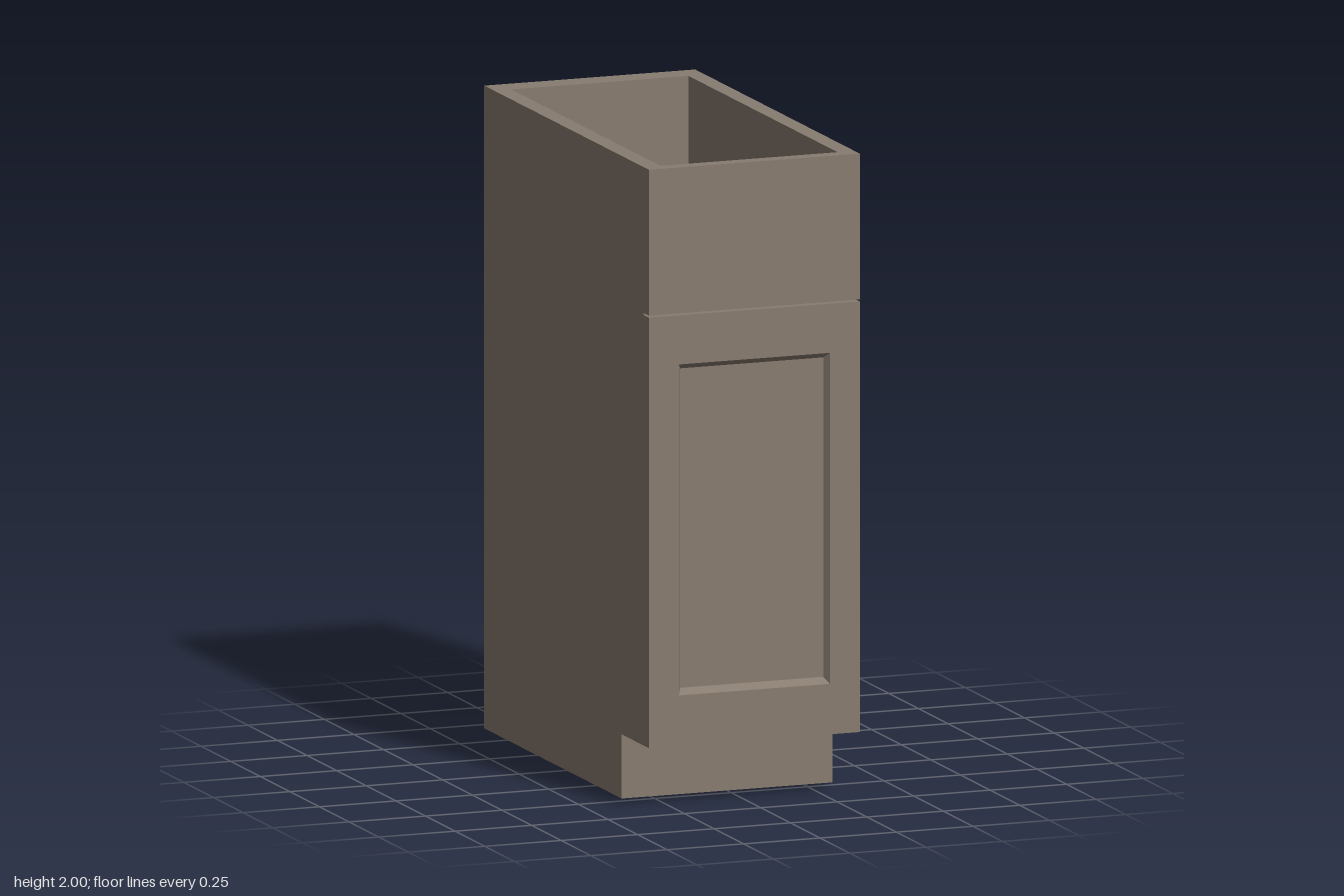
import * as THREE from 'three';

const W = 0.345, D = 0.695, H = 2;      // half width, half depth, height
const T = 0.055;                        // board thickness
const TOE_Y = 0.2, TOE_Z = 0.465;       // toe kick recess
const FRONT_Z = 0.65;                   // back plane of the door and drawer front
const BACK_Z = -0.61;                   // inner face of the back board
const GAP_LOW = 1.54, GAP_HIGH = 1.546; // gap between door and drawer front

const material = new THREE.MeshStandardMaterial({ color: 0x887c70, flatShading: true });

function add(group, name, geometry) {
  const mesh = new THREE.Mesh(geometry, material);
  mesh.name = name;
  group.add(mesh);
  return mesh;
}

// Box given by its limits on each axis
function box(x0, x1, y0, y1, z0, z1) {
  return new THREE.BoxGeometry(x1 - x0, y1 - y0, z1 - z0)
    .translate((x0 + x1) / 2, (y0 + y1) / 2, (z0 + z1) / 2);
}

// Extrudes a [z, y] outline along x
function profile(points, x0, x1) {
  const shape = new THREE.Shape(points.map(([z, y]) => new THREE.Vector2(-z, y)));
  return new THREE.ExtrudeGeometry(shape, { depth: x1 - x0, bevelEnabled: false })
    .rotateY(Math.PI / 2)
    .translate(x0, 0, 0);
}

function corners(hw, y0, y1, z) {
  return [[-hw, y0, z], [hw, y0, z], [hw, y1, z], [-hw, y1, z]];
}

// Four sloping strips joining an outer rectangle to a recessed inner one
function bevelRing(outer, inner) {
  const positions = [];
  for (let i = 0; i < 4; i++) {
    const j = (i + 1) % 4;
    positions.push(...outer[i], ...outer[j], ...inner[j], ...outer[i], ...inner[j], ...inner[i]);
  }
  const geometry = new THREE.BufferGeometry();
  geometry.setAttribute('position', new THREE.Float32BufferAttribute(positions, 3));
  geometry.computeVertexNormals();
  return geometry;
}

function createDoor() {
  const door = new THREE.Group();
  door.name = 'door';
  const hw = 0.247, y0 = 0.357, y1 = 1.387, panelZ = 0.673;

  // Frame with an opening
  const shape = new THREE.Shape([[-W, TOE_Y], [W, TOE_Y], [W, GAP_LOW], [-W, GAP_LOW]]
    .map(([x, y]) => new THREE.Vector2(x, y)));
  shape.holes.push(new THREE.Path([[-hw, y0], [-hw, y1], [hw, y1], [hw, y0]]
    .map(([x, y]) => new THREE.Vector2(x, y))));
  add(door, 'doorFrame', new THREE.ExtrudeGeometry(shape, { depth: D - FRONT_Z, bevelEnabled: false })
    .translate(0, 0, FRONT_Z));

  // Recessed panel and its sloping surround
  add(door, 'doorPanel', box(-hw, hw, y0, y1, FRONT_Z, panelZ));
  add(door, 'doorBevel', bevelRing(
    corners(hw, y0, y1, D), corners(hw - 0.013, y0 + 0.019, y1 - 0.017, panelZ + 0.0005)));
  return door;
}

export function createModel() {
  const cabinet = new THREE.Group();
  cabinet.name = 'baseCabinet';

  // Side boards with the toe notch
  const side = [[-D, 0], [TOE_Z, 0], [TOE_Z, TOE_Y], [FRONT_Z, TOE_Y], [FRONT_Z, H], [-D, H]];
  add(cabinet, 'leftSide', profile(side, W - T, W));
  add(cabinet, 'rightSide', profile(side, -W, T - W));

  // Back board, and base with the cabinet floor on top
  const inner = W - T, floorY = TOE_Y + T;
  add(cabinet, 'backBoard', box(-inner, inner, 0, H, -D, BACK_Z));
  add(cabinet, 'base', profile([[BACK_Z, 0], [TOE_Z, 0], [TOE_Z, TOE_Y],
    [FRONT_Z, TOE_Y], [FRONT_Z, floorY], [BACK_Z, floorY]], -inner, inner));

  // Rail behind the drawer front
  add(cabinet, 'frontRail', box(-inner, inner, 1.625, 1.68, 0.625, FRONT_Z));

  // Front
  add(cabinet, 'drawerFront', box(-W, W, GAP_HIGH, H, FRONT_Z, D));
  cabinet.add(createDoor());
  return cabinet;
}
